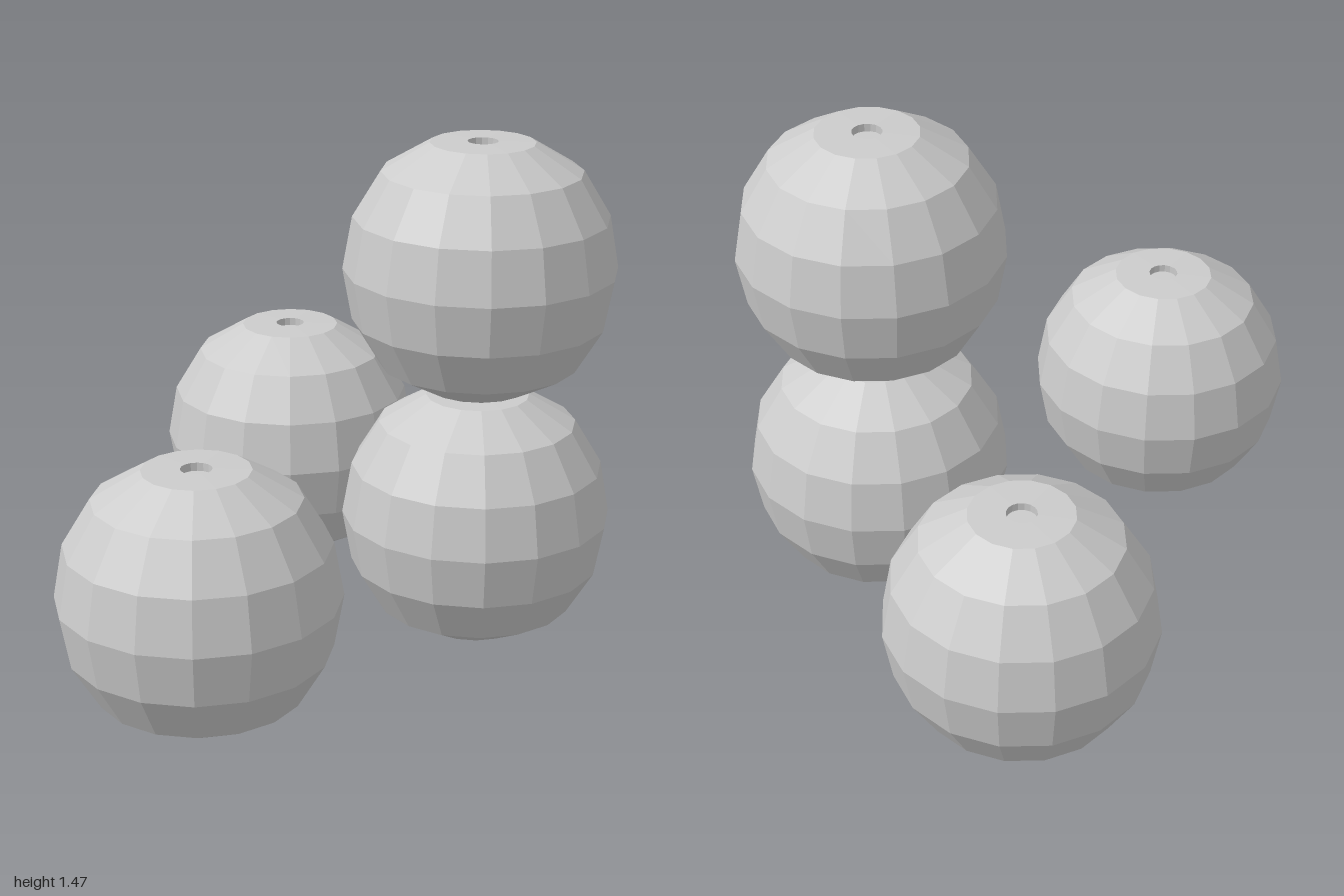
import * as THREE from 'three';

export function createModel() {
  const group = new THREE.Group();
  group.name = 'ballStack';
  const material = new THREE.MeshStandardMaterial({ color: 0xcccccc, flatShading: true });

  // faceted ball: pointed base, rounded sides, flat top with a small recessed hole
  const profile = [
    [0, 0.003], [0.145, 0.022], [0.283, 0.096], [0.361, 0.226], [0.388, 0.374],
    [0.361, 0.525], [0.283, 0.654], [0.148, 0.735],
    [0.043, 0.738], [0.043, 0.715], [0, 0.715],
  ].map(([r, y]) => new THREE.Vector2(r, y));
  const ball = new THREE.LatheGeometry(profile, 16);
  ball.scale(1, 1, 0.985);

  // three balls on the ground, one stacked on the right-hand column
  const places = {
    frontBall: [-0.39, 0, 0.615],
    backBall: [-0.15, 0, -0.618],
    lowerBall: [0.39, 0, 0.043],
    upperBall: [0.39, 0.737, 0.043],
  };
  for (const [name, position] of Object.entries(places)) {
    const mesh = new THREE.Mesh(ball, material);
    mesh.name = name;
    mesh.position.set(...position);
    group.add(mesh);
  }
  return group;
}
